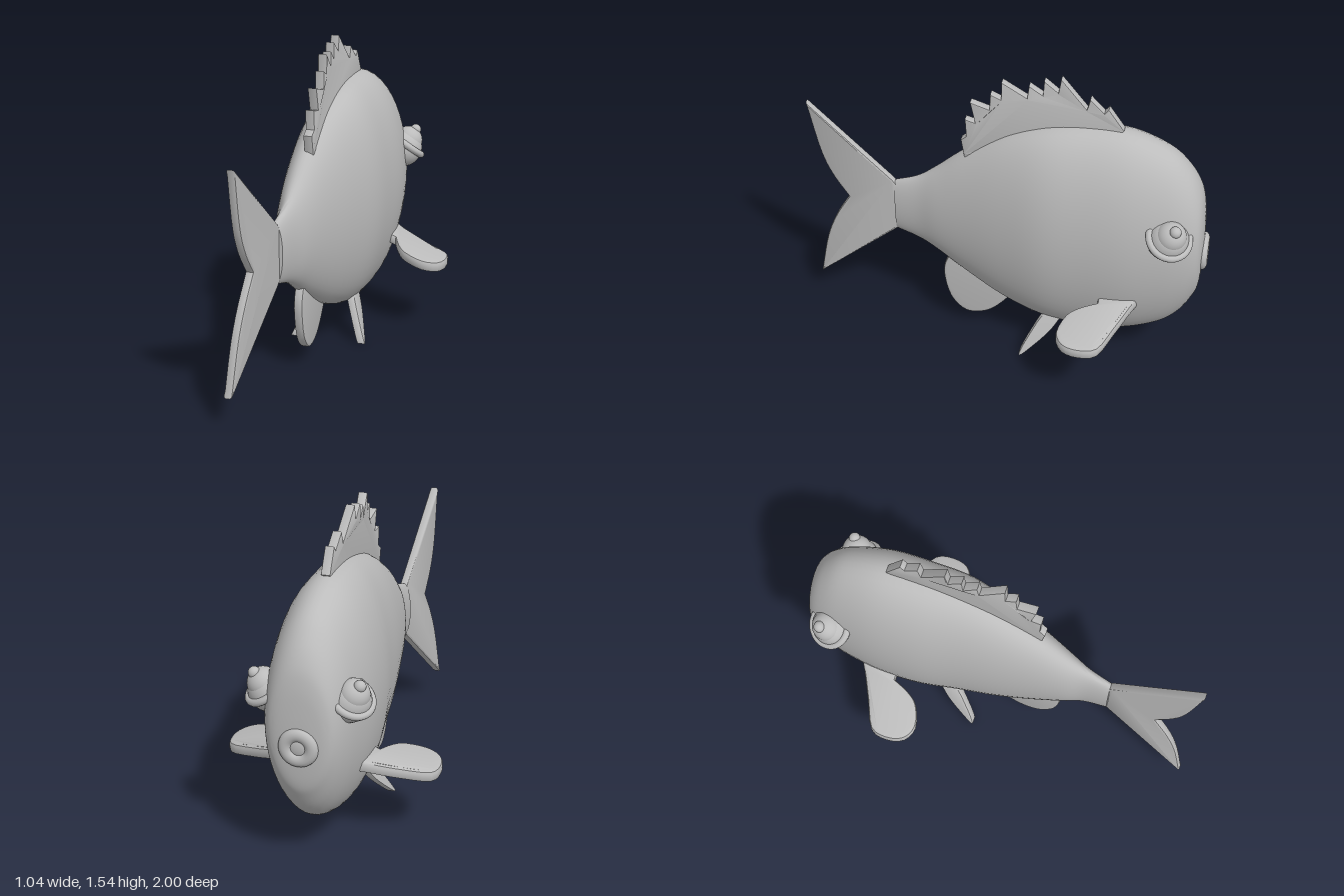
import * as THREE from 'three';
import { toCreasedNormals } from 'three/addons/utils/BufferGeometryUtils.js';

const grey = new THREE.MeshStandardMaterial({ color: 0xbcbcbc });
grey.name = 'plainGrey';

const v2 = (pts) => pts.map(([a, b]) => new THREE.Vector2(a, b));

// Round a run of points into a smooth run
const smooth = (pts, n = 24) => new THREE.SplineCurve(v2(pts)).getPoints(n).map((p) => [p.x, p.y]);

function part(name, geometry) {
  const mesh = new THREE.Mesh(geometry, grey);
  mesh.name = name;
  return mesh;
}

// Body: elliptical sections lofted from nose to tail root
function bodyGeometry() {
  // z, top, bottom, half width, centre x
  const stations = [
    [-0.978, 0.7, 0.7, 0, 0], [-0.975, 0.82, 0.58, 0.07, 0], [-0.965, 0.95, 0.47, 0.125, 0],
    [-0.94, 1.05, 0.4, 0.16, 0], [-0.88, 1.15, 0.3, 0.19, 0], [-0.78, 1.24, 0.215, 0.215, 0],
    [-0.6, 1.31, 0.152, 0.24, 0], [-0.4, 1.318, 0.142, 0.238, 0], [-0.2, 1.29, 0.175, 0.218, 0.008],
    [0, 1.215, 0.245, 0.178, -0.008], [0.2, 1.085, 0.36, 0.128, -0.026], [0.34, 0.965, 0.455, 0.09, -0.036],
    [0.44, 0.89, 0.51, 0.056, -0.041], [0.56, 0.84, 0.545, 0.038, -0.053],
  ];
  const spine = new THREE.CatmullRomCurve3(stations.map((s) => new THREE.Vector3(s[0], s[1], s[2])), false, 'catmullrom');
  const width = new THREE.CatmullRomCurve3(stations.map((s) => new THREE.Vector3(s[3], s[4], 0)), false, 'catmullrom');
  const rows = 65, sides = 48, pos = [], index = [];
  for (let i = 0; i <= rows; i++) {
    const a = spine.getPoint(i / rows), w = width.getPoint(i / rows);
    for (let j = 0; j < sides; j++) {
      const t = (j / sides) * Math.PI * 2;
      pos.push(w.y + w.x * Math.cos(t), (a.y + a.z) / 2 + ((a.y - a.z) / 2) * Math.sin(t), a.x);
    }
  }
  for (let i = 0; i < rows; i++) {
    for (let j = 0; j < sides; j++) {
      const k = (j + 1) % sides, a = i * sides + j, b = i * sides + k;
      index.push(a, b, b + sides, a, b + sides, a + sides);
    }
  }
  // Tail root cap
  const last = rows * sides, c = pos.length / 3;
  pos.push(-0.053, 0.692, 0.565);
  for (let j = 0; j < sides; j++) index.push(last + j, last + ((j + 1) % sides), c);
  const g = new THREE.BufferGeometry();
  g.setAttribute('position', new THREE.Float32BufferAttribute(pos, 3));
  g.setIndex(index);
  return toCreasedNormals(g, 0.9);
}

// Fin: a bevelled plate from an outline, placed by a rule (u, v, w) -> [x, y, z]
function finGeometry(outline, thickness, bevel, place) {
  const g = new THREE.ExtrudeGeometry(new THREE.Shape(v2(outline)), {
    depth: thickness - 2 * bevel, bevelEnabled: true, bevelThickness: bevel,
    bevelSize: bevel, bevelOffset: -bevel, bevelSegments: 2, steps: 1,
  });
  g.translate(0, 0, bevel - thickness / 2);
  const p = g.attributes.position;
  for (let i = 0; i < p.count; i++) p.setXYZ(i, ...place(p.getX(i), p.getY(i), p.getZ(i)));
  g.deleteAttribute('uv');
  return toCreasedNormals(g, 0.6);
}

function eye(side) {
  const group = new THREE.Group();
  group.name = side > 0 ? 'leftEye' : 'rightEye';
  const ball = (name, r, h) => {
    const m = part(name, new THREE.SphereGeometry(r, 32, 20));
    m.position.y = h;
    group.add(m);
  };
  ball('eyeball', 0.1, -0.024);
  ball('iris', 0.074, 0.024);
  ball('pupil', 0.028, 0.092);
  const ring = part('eyelidRing', new THREE.TorusGeometry(0.099, 0.018, 12, 40));
  ring.rotation.x = Math.PI / 2;
  group.add(ring);
  group.position.set(side * 0.198, 0.866, -0.82);
  const axis = new THREE.Vector3(side * 0.5, 0.8, -0.32).normalize();
  group.quaternion.setFromUnitVectors(new THREE.Vector3(0, 1, 0), axis);
  return group;
}

export function createModel() {
  const model = new THREE.Group();
  model.name = 'fish';
  model.add(part('body', bodyGeometry()));

  // Toothed dorsal fin, gently waved from side to side
  const dorsal = [
    [0.19, 1.04], [0.2, 1.09], [0.212, 1.165], [0.185, 1.19], [0.19, 1.285], [0.14, 1.275], [0.163, 1.385],
    [0.07, 1.36], [0.065, 1.445], [0.015, 1.42], [0.012, 1.515], [-0.105, 1.433], [-0.113, 1.5],
    [-0.178, 1.452], [-0.183, 1.53], [-0.25, 1.475], [-0.262, 1.55], [-0.387, 1.41], [-0.402, 1.47],
    [-0.47, 1.405], [-0.49, 1.43], [-0.565, 1.32], [-0.5, 1.24], [-0.2, 1.2], [0, 1.12],
  ];
  model.add(part('dorsalFin', finGeometry(dorsal, 0.045, 0.006,
    (u, v, w) => [-0.009 + 0.014 * Math.cos((u - 0.07) * 11) - w, v, u])));

  // Forked tail fin, swinging to the right
  const upper = smooth([[1, 1.22], [0.945, 0.95], [0.89, 0.81], [0.81, 0.69]], 14);
  const lower = smooth([[0.81, 0.69], [0.89, 0.55], [0.95, 0.39], [1, 0.15]], 14);
  const tail = [[0.55, 0.82], [0.57, 0.845], ...upper, ...lower.slice(1), [0.57, 0.54], [0.55, 0.56]];
  model.add(part('tailFin', finGeometry(tail, 0.042, 0.012,
    (u, v, w) => [-0.052 - (u - 0.56) * (0.135 - (v - 0.69) * 0.07) - w, v, u])));

  // Rounded fin under the tail
  const anal = smooth([
    [0.27, 0.47], [0.31, 0.39], [0.315, 0.3], [0.285, 0.18], [0.225, 0.105], [0.16, 0.088],
    [0.08, 0.115], [0.01, 0.18], [-0.06, 0.27],
  ]);
  model.add(part('analFin', finGeometry([...anal, [0.1, 0.42]], 0.046, 0.012, (u, v, w) => [-0.025 - w, v, u])));

  // Paired fins
  const pectoral = [[0.19, -0.5], [0.19, -0.69], ...smooth([
    [0.24, -0.662], [0.37, -0.6], [0.495, -0.54], [0.52, -0.45], [0.495, -0.365], [0.42, -0.328],
    [0.32, -0.36], [0.27, -0.42], [0.235, -0.5],
  ])];
  const pelvic = smooth([
    [-0.32, 0.25], [-0.225, 0.23], [-0.15, 0.11], [-0.108, 0.022], [-0.112, 0.006], [-0.145, 0.03],
    [-0.25, 0.135], [-0.31, 0.225],
  ]);
  for (const s of [1, -1]) {
    const side = s > 0 ? 'left' : 'right';
    model.add(part(side + 'PectoralFin', finGeometry(pectoral, 0.056, 0.016, (u, v, w) => {
      const d = u - 0.22;
      return [s * u, 0.436 - 0.38 * d + 0.4 * d * d - s * w, v];
    })));
    model.add(part(side + 'PelvicFin', finGeometry(pelvic, 0.042, 0.006,
      (u, v, w) => [-0.008 + s * (0.085 + (0.22 - v) * 0.43) - w, v, u])));
    model.add(eye(s));
  }

  // Round pouting mouth
  const mouth = new THREE.Group();
  mouth.name = 'mouth';
  const lips = part('lips', new THREE.TorusGeometry(0.062, 0.031, 14, 40));
  lips.scale.z = 0.75;
  const inner = part('mouthOpening', new THREE.SphereGeometry(0.045, 24, 12));
  inner.scale.z = 0.3;
  mouth.add(lips, inner);
  mouth.position.set(0, 0.665, -0.977);
  model.add(mouth);
  return model;
}
